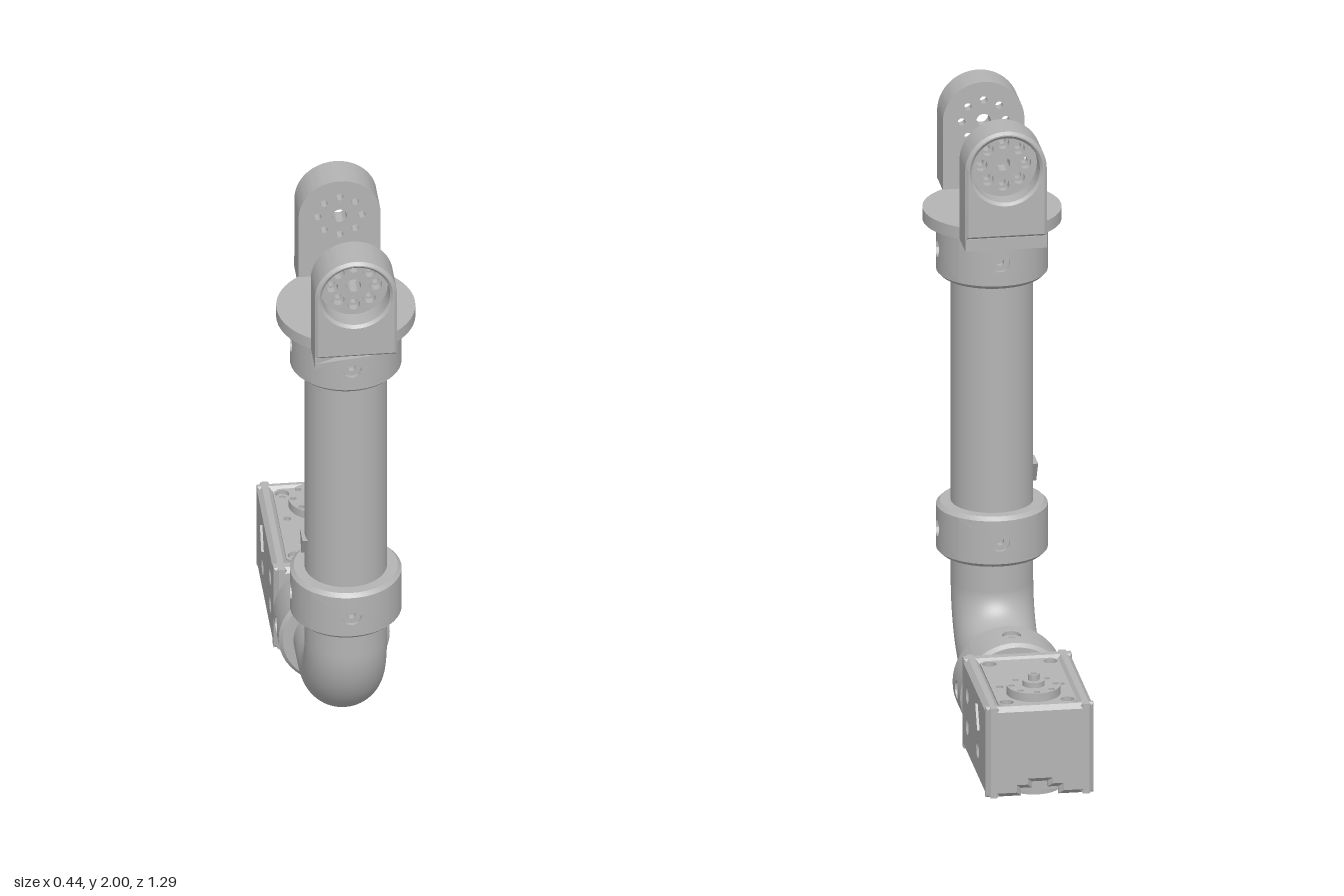
import * as THREE from 'three';
import { toCreasedNormals } from 'three/addons/utils/BufferGeometryUtils.js';

const grey = new THREE.MeshStandardMaterial({ color: 0xb4b4b4 });
grey.name = 'printed grey';

const COLUMN_Z = 0.35, PIPE_Y = 0.18, PIPE_R = 0.13, SERVO_Z = -0.505;

function add(group, name, geometry, x = 0, y = 0, z = 0) {
  const mesh = new THREE.Mesh(geometry, grey);
  mesh.name = name;
  mesh.position.set(x, y, z);
  group.add(mesh);
  return mesh;
}

// holes are [x, y, radius]
function drill(shape, holes) {
  for (const [x, y, r] of holes) shape.holes.push(new THREE.Path().absarc(x, y, r, 0, Math.PI * 2, true));
  return shape;
}

const polygon = (...pts) => new THREE.Shape(pts.map(([x, y]) => new THREE.Vector2(x, y)));
const rect = (x0, y0, x1, y1) => polygon([x0, y0], [x1, y0], [x1, y1], [x0, y1]);
const ring = (n, radius, r) => Array.from({ length: n }, (_, i) => {
  const a = (i / n) * Math.PI * 2;
  return [radius * Math.cos(a), radius * Math.sin(a), r];
});

// Extrusion from z = 0 to depth; a bevel chamfers rims and countersinks the holes
function slab(shape, depth, bevel = 0) {
  const g = new THREE.ExtrudeGeometry(shape, {
    depth: depth - 2 * bevel, curveSegments: 24, bevelEnabled: bevel > 0,
    bevelThickness: bevel, bevelSize: bevel, bevelOffset: -bevel, bevelSegments: 1,
  });
  g.translate(0, 0, bevel);
  return toCreasedNormals(g, 0.5);
}
const flat = (shape, depth) => slab(shape, depth).rotateX(-Math.PI / 2);
const sideways = (shape, depth, bevel) => slab(shape, depth, bevel).rotateY(Math.PI / 2);

// Quarter of a collar wall with a counterbored screw hole, as rings wrapped on a cylinder
function collarQuarter(R, half) {
  const U = R * Math.PI / 4, n = 12, rim = [];
  const corners = [[-U, -half], [U, -half], [U, half], [-U, half]];
  corners.forEach(([x, y], i) => {
    const [x2, y2] = corners[(i + 1) % 4];
    for (let k = 0; k < n; k++) rim.push([x + (x2 - x) * k / n, y + (y2 - y) * k / n]);
  });
  // hole rows: radius, depth; then rows blending out to the border
  const rows = [[0, 0.032], [0.013, 0.032], [0.013, 0.012], [0.03, 0.012]];
  const point = (k, j) => {
    const [u, v] = rim[j % rim.length], len = Math.hypot(u, v);
    if (k < rows.length) {
      const [r, d] = rows[k];
      return [R - d, r * v / len, -r * u / len];
    }
    const t = (k - rows.length) / 6, s = (0.03 / len) * (1 - t) + t;
    const a = u * s / R;
    return [R * Math.cos(a), v * s, -R * Math.sin(a)];
  };
  const pos = [];
  for (let k = 0; k < rows.length + 6; k++) {
    for (let j = 0; j < rim.length; j++) {
      const a = point(k, j), b = point(k + 1, j), c = point(k + 1, j + 1), d = point(k, j + 1);
      pos.push(...a, ...b, ...c, ...a, ...c, ...d);
    }
  }
  const g = new THREE.BufferGeometry();
  g.setAttribute('position', new THREE.Float32BufferAttribute(pos, 3));
  return toCreasedNormals(g, 0.5);
}

function collar(name, height) {
  const group = new THREE.Group(), R = 0.176, h = height / 2, c = 0.012;
  group.name = name;
  const wall = collarQuarter(R, h - c);
  for (let i = 0; i < 4; i++) add(group, 'collarWall', wall).rotation.y = i * Math.PI / 2;
  const profile = [[R, h - c], [R - c, h], [0.12, h]].map(([x, y]) => new THREE.Vector2(x, y));
  const end = toCreasedNormals(new THREE.LatheGeometry(profile, 48), 0.5);
  add(group, 'collarEnd', end);
  add(group, 'collarEnd', end).rotation.x = Math.PI;
  return group;
}

// Bracket cheek with an open cup on its outer side
function bracketPost() {
  const group = new THREE.Group();
  group.name = 'bracketPost';
  const outline = () => {
    const s = new THREE.Shape();
    s.moveTo(-PIPE_R, -0.225).lineTo(PIPE_R, -0.225);
    s.absarc(0, 0, PIPE_R, 0, Math.PI, false);
    return s;
  };
  const hub = [0, 0, 0.023];
  add(group, 'postInnerFace', slab(drill(outline(), [hub, ...ring(8, 0.07, 0.012)]), 0.03));
  add(group, 'postFloor', slab(drill(outline(), [hub, ...ring(8, 0.07, 0.02)]), 0.025), 0, 0, 0.03);
  add(group, 'postCup', slab(drill(outline(), [[0, 0, 0.108]]), 0.08, 0.009), 0, 0, 0.045);
  return group;
}

// Round plate with two straight arms
function bracketBase(group) {
  const outline = () => {
    const s = new THREE.Shape(), R = 0.219, L = 0.295, a = Math.acos(PIPE_R / R);
    s.moveTo(PIPE_R, -L);
    s.absarc(0, 0, R, -a, a, false);
    s.lineTo(PIPE_R, L).lineTo(-PIPE_R, L);
    s.absarc(0, 0, R, Math.PI - a, Math.PI + a, false);
    s.lineTo(-PIPE_R, -L);
    return s;
  };
  const armHoles = [-1, 1].flatMap(x => [-1, 1].map(z => [x * 0.062, z * 0.24, 0.025]));
  add(group, 'bracketBaseLower', flat(drill(outline(), [...ring(8, 0.07, 0.012), ...armHoles]), 0.02), 0, 1.607, COLUMN_Z);
  add(group, 'bracketBaseUpper', flat(drill(outline(), ring(8, 0.07, 0.021)), 0.02), 0, 1.627, COLUMN_Z);
}

function servoHousing() {
  const g = new THREE.Group();
  g.name = 'servoHousing';
  const W = 0.172, y0 = 0.03, y1 = 0.33, c = 0.015;

  // Side walls with countersunk screws and a raised triangle
  const screws = [[0.25, 0.235, 0.013], [0.25, 0.13, 0.013], [0.465, 0.13, 0.013]];
  const side = sideways(drill(rect(0.14, y0, 0.645, y1), screws), 0.05, c);
  const mark = sideways(polygon([0.427, 0.21], [0.508, 0.21], [0.4675, 0.285]), 0.009);
  for (const s of [-1, 1]) {
    add(g, 'housingSide', side, s * (W - 0.025) - 0.025);
    add(g, 'sideTriangle', mark, s * (W + 0.0035) - 0.0045);
  }

  // End walls, the rear one with a cable slot
  add(g, 'housingFrontEnd', slab(rect(-W, y0, W, y1), 0.055, c), 0, 0, -0.195);
  const rear = polygon([-W, y0], [-0.06, y0], [-0.06, 0.055], [-0.025, 0.055], [-0.025, 0.075],
    [0.025, 0.075], [0.025, 0.055], [0.06, 0.055], [0.06, y0], [W, y0], [W, y1], [-W, y1]);
  add(g, 'housingRearEnd', slab(rear, 0.042, c), 0, 0, -0.645);

  // Servo body with clipped corners
  const body = () => polygon([-0.105, 0.195], [0.105, 0.195], [0.125, 0.21], [0.125, 0.59],
    [0.105, 0.606], [-0.105, 0.606], [-0.125, 0.59], [-0.125, 0.21]);
  const corner = r => [-1, 1].flatMap(s => [[s * 0.097, 0.225, r], [s * 0.097, 0.577, r]]);
  const small = [-1, 1].map(s => [s * 0.097, 0.435, 0.012]);
  add(g, 'servoCore', flat(body(), 0.19), 0, 0.1, 0);
  add(g, 'servoUpper', flat(drill(body(), corner(0.012)), 0.02), 0, 0.29, 0);
  add(g, 'servoTop', flat(drill(body(), [...corner(0.022), ...small]), 0.015), 0, 0.31, 0);
  const under = drill(body(), corner(0.018));
  under.holes.push(new THREE.Path().absarc(0, 0.35, 0.095, Math.PI, Math.PI * 2, false));
  add(g, 'servoBottom', flat(under, 0.065), 0, 0.037, 0);

  // Output horn, its hub, and the idler disc below
  const disc = () => new THREE.Shape().absarc(0, 0, 0.085, 0, Math.PI * 2, false);
  const horn = flat(drill(disc(), ring(8, 0.07, 0.01)), 0.029);
  add(g, 'outputHorn', horn, 0, 0.324, SERVO_Z);
  add(g, 'idlerDisc', horn, 0, 0.015, SERVO_Z);
  const hub = [[0.035, 0.345], [0.035, 0.37], [0.018, 0.37], [0.018, 0.39], [0.01, 0.39], [0.01, 0.375], [0, 0.375]];
  add(g, 'hornHub', toCreasedNormals(new THREE.LatheGeometry(hub.map(p => new THREE.Vector2(...p)), 32), 0.5), 0, 0, SERVO_Z);
  add(g, 'idlerHub', new THREE.CylinderGeometry(0.035, 0.035, 0.02, 32), 0, 0.022, SERVO_Z);
  return g;
}

export function createModel() {
  const model = new THREE.Group();
  model.name = 'robotArmLink';

  // Tube: column, elbow and short horizontal pipe
  const pipe = len => new THREE.CylinderGeometry(PIPE_R, PIPE_R, len, 64);
  add(model, 'column', pipe(1.21), 0, 1.005, COLUMN_Z);
  const elbow = new THREE.TorusGeometry(0.22, PIPE_R, 64, 32, Math.PI / 2);
  elbow.rotateZ(-Math.PI / 2).rotateY(-Math.PI / 2);
  add(model, 'elbow', elbow, 0, 0.4, 0.13);
  add(model, 'horizontalPipe', pipe(0.28).rotateX(Math.PI / 2), 0, PIPE_Y, -0.01);
  add(model, 'columnTriangle', sideways(polygon([-0.04, 0.79], [0, 0.72], [0.04, 0.79]), 0.022), -0.141, 0, COLUMN_Z);

  // Clamping collars
  const place = (part, y, z) => { part.position.set(0, y, z); model.add(part); return part; };
  place(collar('lowerCollar', 0.168), 0.582, COLUMN_Z);
  place(collar('upperCollar', 0.178), 1.518, COLUMN_Z);
  place(collar('housingCollar', 0.178), PIPE_Y + 0.001, -0.053).rotation.x = Math.PI / 2;

  // Fork bracket on top
  bracketBase(model);
  place(bracketPost(), 1.87, COLUMN_Z + 0.172);
  place(bracketPost(), 1.87, COLUMN_Z - 0.172).rotation.y = Math.PI;

  model.add(servoHousing());
  return model;
}
